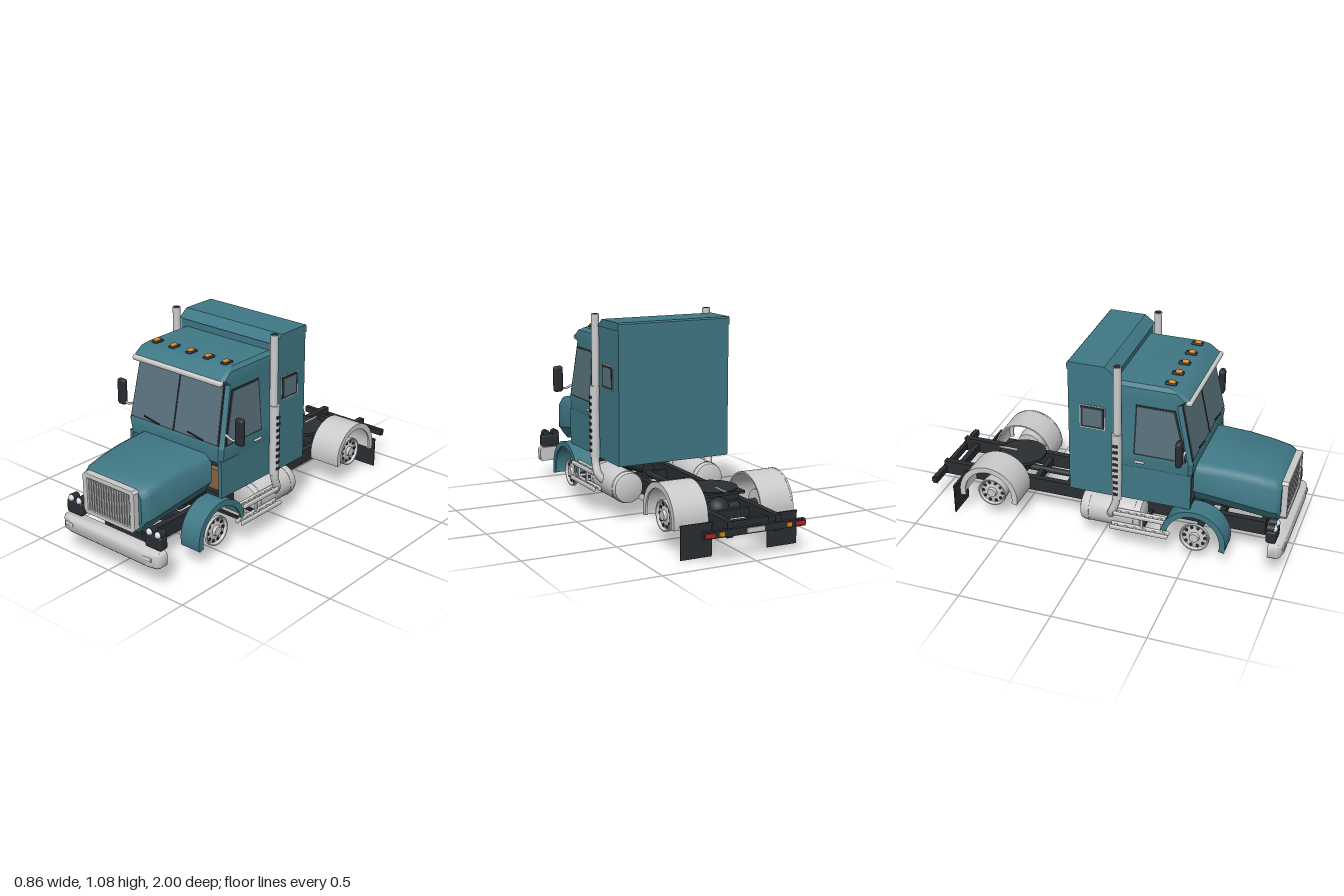
import * as THREE from 'three';
import { toCreasedNormals } from 'three/addons/utils/BufferGeometryUtils.js';
import { RoundedBoxGeometry } from 'three/addons/geometries/RoundedBoxGeometry.js';

const mat = (color) => new THREE.MeshStandardMaterial({ color });
const paint = mat(0x3f7885), dark = mat(0x2a2e31), chrome = mat(0xcccccc), glass = mat(0x5a727d);
const amber = mat(0xd98a20), red = mat(0xb02a20), seat = mat(0x8a6243), lamp = mat(0xd5dcec);
const V = (x, y, z) => new THREE.Vector3(x, y, z);

export function createModel() {
  const truck = new THREE.Group();
  truck.name = 'truck';

  const add = (name, geo, m, x = 0, y = 0, z = 0) => {
    const mesh = new THREE.Mesh(geo, m);
    mesh.name = name;
    mesh.position.set(x, y, z);
    truck.add(mesh);
    return mesh;
  };
  const box = (name, m, w, h, d, x, y, z) => add(name, new THREE.BoxGeometry(w, h, d), m, x, y, z);
  const round = (name, m, w, h, d, x, y, z, r = 0.012) =>
    add(name, new RoundedBoxGeometry(w, h, d, 3, r), m, x, y, z);
  // Cylinder along a chosen axis
  const cyl = (name, m, axis, r, len, x, y, z, r2 = r) => {
    const g = new THREE.CylinderGeometry(r2, r, len, 28);
    if (axis === 'x') g.rotateZ(-Math.PI / 2);
    if (axis === 'z') g.rotateX(Math.PI / 2);
    return add(name, g, m, x, y, z);
  };
  const tube = (name, m, pts, r) =>
    add(name, new THREE.TubeGeometry(new THREE.CatmullRomCurve3(pts), 20, r, 12), m);
  const poly = (pts) => new THREE.Shape(pts.map((p) => new THREE.Vector2(...p)));
  // Extrude a (z, y) profile across x, centred
  const sideGeo = (shape, width, curveSegments = 28) => {
    const g = new THREE.ExtrudeGeometry(shape, { depth: width, bevelEnabled: false, curveSegments });
    g.translate(0, 0, -width / 2).rotateY(-Math.PI / 2);
    return toCreasedNormals(g, 0.5);
  };
  // Skin through closed cross-sections, capped at both ends
  const loft = (rings, crease = 0.5) => {
    const n = rings[0].length, idx = [], pos = rings.flat().flatMap((p) => p.toArray());
    for (let i = 0; i < rings.length - 1; i++) {
      for (let j = 0; j < n; j++) {
        const a = i * n + j, b = i * n + ((j + 1) % n);
        idx.push(a, b, b + n, a, b + n, a + n);
      }
    }
    const last = (rings.length - 1) * n;
    for (let j = 1; j < n - 1; j++) idx.push(0, j + 1, j, last, last + j, last + j + 1);
    const g = new THREE.BufferGeometry();
    g.setAttribute('position', new THREE.Float32BufferAttribute(pos, 3));
    g.setIndex(idx);
    return toCreasedNormals(g, crease);
  };
  // Arched ring between two radii, with ends at the given angles
  const arch = (r0, r1, a0, a1) => {
    const s = new THREE.Shape();
    s.absarc(0, 0, r1, a0, a1, false);
    s.absarc(0, 0, r0, a1, a0, true);
    return s;
  };

  // Cab shell: half width, front z per height
  const cabRing = (y, w, zf, c = 0.02) => [
    V(w, y, zf - c), V(w, y, 0.09), V(-w, y, 0.09), V(-w, y, zf - c), V(-w + c, y, zf), V(w - c, y, zf)];
  add('cab', loft([
    cabRing(0.5, 0.315, 0.505), cabRing(0.578, 0.324, 0.512), cabRing(0.592, 0.322, 0.506),
    cabRing(0.895, 0.305, 0.44), cabRing(0.925, 0.306, 0.478), cabRing(0.96, 0.3, 0.435),
    cabRing(0.978, 0.28, 0.395)]), paint);
  box('firewall', dark, 0.6, 0.2, 0.02, 0, 0.41, 0.43);
  box('cabFloor', dark, 0.62, 0.02, 0.42, 0, 0.32, 0.29);

  // Sleeper and its raised roof
  add('sleeper', sideGeo(poly([[-0.153, 0.31], [0.092, 0.31], [0.092, 1.02], [-0.153, 1.02]]), 0.644), paint);
  add('sleeperRoof', sideGeo(poly([[-0.157, 1.018], [0.1, 1.018], [0.085, 1.03], [0.045, 1.06],
    [-0.15, 1.06], [-0.157, 1.052]]), 0.652), paint);

  // Windshield, tilted back
  const pane = (name, m, b, t, y0, y1, z) => {
    const g = new THREE.ExtrudeGeometry(poly([[-b, y0], [b, y0], [t, y1], [-t, y1]]),
      { depth: 0.004, bevelEnabled: false });
    const mesh = add(name, g, m, 0, 0.592, z);
    mesh.rotation.x = -0.214;
  };
  pane('windshieldFrame', dark, 0.303, 0.288, 0, 0.315, 0.505);
  pane('windshield', glass, 0.296, 0.282, 0.007, 0.308, 0.508);
  pane('windshieldDivider', dark, 0.004, 0.004, 0.005, 0.31, 0.511);
  round('sunVisor', chrome, 0.6, 0.028, 0.035, 0, 0.913, 0.475);
  for (let i = -2; i <= 2; i++) {
    round('markerBase', dark, 0.036, 0.016, 0.06, i * 0.117, 0.98, 0.365, 0.006);
    round('markerLight', amber, 0.026, 0.02, 0.035, i * 0.117, 0.988, 0.37, 0.007);
  }

  // Hood: cross-sections from cab to nose
  const hoodRing = (z, w, top, low, c) => [
    V(w, low + 0.07, z), V(w, top - c, z), V(w - c * 0.4, top - c * 0.35, z), V(w - c, top, z),
    V(-w + c, top, z), V(-w + c * 0.4, top - c * 0.35, z), V(-w, top - c, z), V(-w, low + 0.07, z),
    V(-w + 0.05, low, z), V(w - 0.05, low, z)];
  add('hood', loft([
    hoodRing(0.5, 0.247, 0.53, 0.31, 0.04), hoodRing(0.68, 0.24, 0.527, 0.288, 0.042),
    hoodRing(0.82, 0.229, 0.515, 0.265, 0.045), hoodRing(0.91, 0.22, 0.5, 0.248, 0.045),
    hoodRing(0.935, 0.212, 0.488, 0.246, 0.045), hoodRing(0.95, 0.195, 0.478, 0.25, 0.04)], 0.6), paint);

  // Grille: chrome surround, dark recess, vertical bars
  const surround = poly([[-0.16, 0.262], [0.16, 0.262], [0.174, 0.28], [0.174, 0.468], [0.162, 0.48],
    [-0.162, 0.48], [-0.174, 0.468], [-0.174, 0.28]]);
  surround.holes.push(poly([[-0.152, 0.277], [-0.152, 0.462], [0.152, 0.462], [0.152, 0.277]]));
  add('grilleSurround', new THREE.ExtrudeGeometry(surround,
    { depth: 0.03, bevelThickness: 0.004, bevelSize: 0.004, bevelSegments: 2 }), chrome, 0, 0, 0.947);
  box('grilleRecess', dark, 0.31, 0.19, 0.015, 0, 0.37, 0.955);
  for (let i = -8; i <= 8; i++) box('grilleBar', chrome, 0.006, 0.186, 0.012, i * 0.0175, 0.37, 0.968);

  // Bumper with swept ends
  const bumper = (y, k) => [V(0.337 - k, y, 0.925), V(-0.337 + k, y, 0.925), V(-0.337 + k, y, 0.965),
    V(-0.318, y, 0.99 - k), V(-0.27, y, 1 - k), V(0.27, y, 1 - k), V(0.318, y, 0.99 - k), V(0.337 - k, y, 0.965)];
  add('bumper', loft([bumper(0.117, 0.01), bumper(0.127, 0), bumper(0.188, 0), bumper(0.198, 0.01)], 0.8), chrome);

  // Chassis
  for (let z of [0.85, 0.62, 0.4, 0.17, -0.06, -0.25, -0.44, -0.72, -0.9])
    box('crossMember', dark, 0.25, 0.045, 0.03, 0, 0.16, z);
  box('engine', dark, 0.14, 0.12, 0.36, 0, 0.26, 0.69);
  cyl('gearbox', dark, 'z', 0.035, 0.34, 0, 0.2, 0.33, 0.06);
  cyl('driveShaft', dark, 'z', 0.017, 0.76, 0, 0.175, -0.22);
  add('differential', new THREE.SphereGeometry(0.062, 20, 14), dark, 0, 0.16, -0.62);
  cyl('rearAxle', dark, 'x', 0.025, 0.5, 0, 0.165, -0.62);
  cyl('frontAxle', dark, 'x', 0.018, 0.56, 0, 0.135, 0.53);

  // Coupling plate
  cyl('couplingPlate', dark, 'y', 0.13, 0.016, 0, 0.257, -0.56);
  box('couplingRamp', dark, 0.23, 0.014, 0.09, 0, 0.253, -0.65);
  box('couplingMount', dark, 0.25, 0.05, 0.12, 0, 0.225, -0.56);
  box('couplingSlot', chrome, 0.014, 0.004, 0.11, 0, 0.267, -0.65);

  // Tail bar
  box('tailBar', dark, 0.56, 0.035, 0.025, 0, 0.153, -0.978);
  box('tailPlate', chrome, 0.1, 0.025, 0.006, 0, 0.153, -0.993);

  // Wheel hub: dished disc, holes and cap, axis along x
  const hub = (s, x, y, z, depth) => {
    const pts = [[0, 0.012], [0.024, 0.012], [0.028, -0.004], [0.05, -0.008], [0.066, -0.008], [0.074, 0.006],
      [0.08, 0.006], [0.08, -0.01], [0.072, -depth], [0, -depth]].reverse();
    const g = new THREE.LatheGeometry(pts.map((p) => new THREE.Vector2(...p)), 32);
    g.rotateZ(-s * Math.PI / 2);
    add('wheelHub', toCreasedNormals(g, 0.5), chrome, s * x, y, z);
    for (let i = 0; i < 10; i++) {
      const a = i * Math.PI / 5;
      cyl('hubHole', dark, 'x', 0.009, 0.004, s * (x - 0.006), y + 0.056 * Math.sin(a), z + 0.056 * Math.cos(a));
    }
  };
  // Fender: thin arched shell with a deeper outer lip
  const fender = (name, m, r, a0, a1, x0, x1, s, y, z) => {
    add(name, sideGeo(arch(r - 0.008, r, a0, a1), x1 - x0), m, s * (x0 + x1) / 2, y, z);
    add(name + 'Lip', sideGeo(arch(r - 0.03, r + 0.001, a0, a1), 0.01), m, s * (x1 - 0.005), y, z);
  };

  for (const s of [1, -1]) {
    // Chassis rail and lower cab wall
    box('chassisRail', dark, 0.034, 0.08, 1.85, s * 0.132, 0.165, -0.055);
    box('lowerCabWall', paint, 0.02, 0.2, 0.415, s * 0.307, 0.41, 0.2975);
    box('seatBase', seat, 0.09, 0.11, 0.04, s * 0.25, 0.385, 0.455);

    // Door glass on the leaning side
    const door = (name, m, k, x) => {
      const shape = poly([[0.198 + k, k], [0.478 - k, k], [0.474 - k, 0.04], [0.414 - k, 0.282 - k],
        [0.205 + k, 0.282 - k]]);
      add(name, sideGeo(shape, 0.006), m, s * x, 0.588, 0).rotation.z = s * 0.056;
    };
    door('doorWindowFrame', dark, 0, 0.322);
    door('doorWindow', glass, 0.009, 0.324);
    round('doorHandle', chrome, 0.012, 0.012, 0.055, s * 0.325, 0.545, 0.23, 0.005);

    // Sleeper window
    box('sleeperWindowTrim', chrome, 0.008, 0.132, 0.136, s * 0.322, 0.763, -0.022);
    box('sleeperWindowFrame', dark, 0.008, 0.122, 0.126, s * 0.324, 0.763, -0.022);
    box('sleeperWindow', glass, 0.008, 0.1, 0.102, s * 0.326, 0.763, -0.022);

    // Mirror and arms
    round('mirror', dark, 0.054, 0.145, 0.035, s * 0.405, 0.688, 0.465, 0.016);
    tube('mirrorArm', chrome, [V(s * 0.315, 0.65, 0.47), V(s * 0.36, 0.632, 0.468), V(s * 0.39, 0.64, 0.465),
      V(s * 0.4, 0.69, 0.465)], 0.006);

    // Wiper
    box('wiper', dark, 0.105, 0.006, 0.006, s * 0.15 - 0.0, 0.61, 0.513).rotation.z = -0.18;

    // Headlight cluster
    round('headlightHousing', dark, 0.108, 0.072, 0.055, s * 0.275, 0.24, 0.935);
    for (const x of [0.246, 0.302]) {
      cyl('headlightShell', dark, 'z', 0.021, 0.04, s * x, 0.283, 0.93);
      add('headlight', new THREE.SphereGeometry(0.02, 20, 14), lamp, s * x, 0.283, 0.945);
    }
    round('bumperLamp', lamp, 0.054, 0.02, 0.01, s * 0.273, 0.165, 0.999, 0.004);

    // Wheels, fenders, mud flaps
    hub(s, 0.305, 0.135, 0.53, 0.014);
    hub(s, 0.3, 0.165, -0.62, 0.08);
    fender('frontFender', paint, 0.175, 0.05 - 0.28, Math.PI - 0.2, 0.22, 0.345, s, 0.137, 0.53);
    fender('rearFender', chrome, 0.168, -0.2, Math.PI + 0.2, 0.148, 0.335, s, 0.167, -0.627);
    box('mudFlap', dark, 0.17, 0.165, 0.005, s * 0.24, 0.0825, -0.84);
    box('mudFlapBracket', dark, 0.2, 0.012, 0.012, s * 0.225, 0.165, -0.84);
    box('tailLamp', red, 0.055, 0.022, 0.012, s * 0.248, 0.153, -0.993);
    box('tailSignal', amber, 0.03, 0.022, 0.012, s * 0.185, 0.153, -0.993);

    // Fuel tank with domed ends and straps
    const profile = [[0, -0.174], [0.06, -0.172], [0.08, -0.164], [0.085, -0.15], [0.085, 0.15],
      [0.08, 0.164], [0.06, 0.172], [0, 0.174]].map((p) => new THREE.Vector2(...p));
    const tank = new THREE.LatheGeometry(profile, 36).rotateX(Math.PI / 2);
    add('fuelTank', toCreasedNormals(tank, 0.6), chrome, s * 0.24, 0.175, 0.067);
    for (const z of [0.19, -0.06]) cyl('tankStrap', chrome, 'z', 0.087, 0.018, s * 0.24, 0.175, z);

    // Side steps: slatted treads at two heights
    for (const [y, z0, z1] of [[0.14, 0.08, 0.4], [0.228, 0.1, 0.38]]) {
      for (const x of [0.325, 0.36]) round('stepRail', chrome, 0.016, 0.022, z1 - z0, s * x, y, (z0 + z1) / 2, 0.006);
      for (let i = 0; i < 6; i++)
        box('stepSlat', chrome, 0.045, 0.01, 0.014, s * 0.342, y, z0 + 0.03 + i * (z1 - z0 - 0.06) / 5);
    }
    for (const z of [0.25, 0.36]) {
      box('stepHanger', chrome, 0.012, 0.1, 0.014, s * 0.33, 0.184, z);
      box('stepBracket', dark, 0.19, 0.015, 0.015, s * 0.235, 0.14, z);
    }

    // Exhaust stack with perforated muffler guard
    cyl('exhaustStack', chrome, 'y', 0.021, 0.4, s * 0.333, 0.88, 0.115);
    cyl('exhaustMouth', dark, 'y', 0.017, 0.004, s * 0.333, 1.08, 0.115);
    cyl('muffler', chrome, 'y', 0.026, 0.39, s * 0.34, 0.505, 0.115);
    for (let i = 0; i < 9; i++) box('mufflerSlot', dark, 0.006, 0.016, 0.024, s * 0.365, 0.35 + i * 0.036, 0.115);
    tube('exhaustElbow', chrome, [V(s * 0.34, 0.33, 0.115), V(s * 0.34, 0.28, 0.108), V(s * 0.335, 0.22, 0.085),
      V(s * 0.3, 0.185, 0.07), V(s * 0.2, 0.18, 0.065)], 0.022);
  }
  return truck;
}
